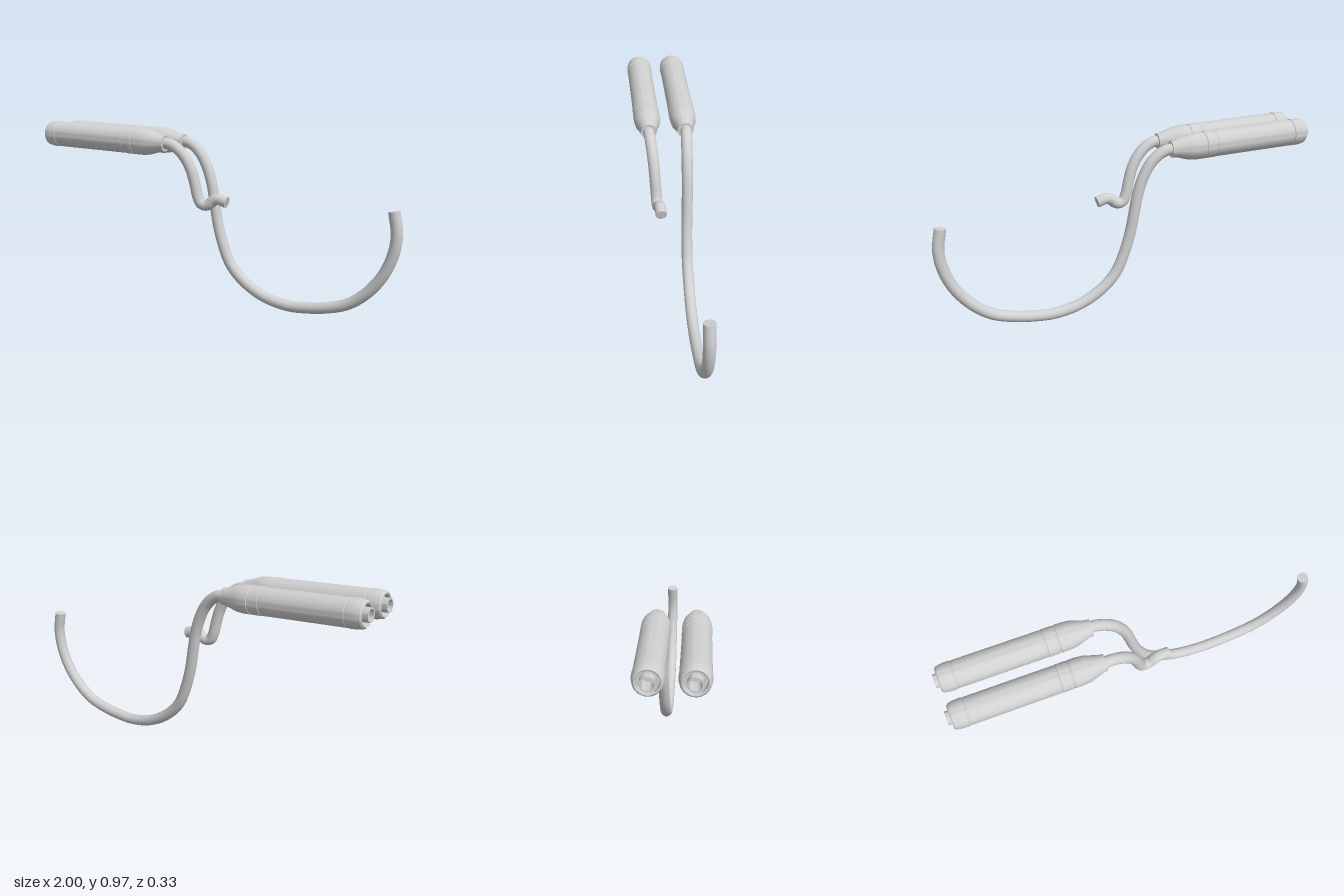
import * as THREE from 'three';
import { toCreasedNormals } from 'three/addons/utils/BufferGeometryUtils.js';

const steel = new THREE.MeshStandardMaterial({ color: 0xd0d0d0 });
steel.name = 'steel';

const PIPE_RADIUS = 0.029;
const TILT = 0.055;

// Silencer profile as [radius, distance from the outlet], starting inside the hollow tip
const silencerProfile = [
  [0, 0.09], [0.027, 0.09], [0.027, 0], [0.034, 0], [0.034, 0.045],
  [0.048, 0.045], [0.05, 0.02], [0.057, 0.018], [0.064, 0.026], [0.068, 0.045],
  [0.07, 0.06], [0.07, 0.092], [0.067, 0.094], [0.067, 0.1], [0.0685, 0.102],
  [0.0685, 0.535], [0.067, 0.537], [0.067, 0.542], [0.07, 0.544],
  [0.07, 0.596], [0.067, 0.598], [0.067, 0.604], [0.07, 0.606],
  [0.07, 0.645], [0.066, 0.685], [0.044, 0.755], [0.042, 0.777], [0, 0.777],
].map(([r, d]) => new THREE.Vector2(r, d));

function silencer(name, z) {
  const geometry = toCreasedNormals(new THREE.LatheGeometry(silencerProfile, 48), 0.45);
  const mesh = new THREE.Mesh(geometry, steel);
  mesh.name = name;
  mesh.rotation.z = -(Math.PI / 2 + TILT);
  mesh.position.set(-0.999, 0.903, z);
  return mesh;
}

// Round pipe along a smooth path, closed by a flat disc at each end
function pipe(name, points, segments) {
  const group = new THREE.Group();
  group.name = name;
  const curve = new THREE.CatmullRomCurve3(points.map((p) => new THREE.Vector3(...p)));
  const tube = new THREE.Mesh(new THREE.TubeGeometry(curve, segments, PIPE_RADIUS, 24), steel);
  tube.name = name + 'Tube';
  group.add(tube);
  for (const t of [0, 1]) {
    const cap = new THREE.Mesh(new THREE.CircleGeometry(PIPE_RADIUS, 24), steel);
    cap.name = name + (t ? 'FrontCap' : 'RearCap');
    const out = curve.getTangentAt(t).multiplyScalar(t ? 1 : -1);
    cap.quaternion.setFromUnitVectors(new THREE.Vector3(0, 0, 1), out);
    cap.position.copy(curve.getPointAt(t));
    group.add(cap);
  }
  return group;
}

export function createModel() {
  const model = new THREE.Group();
  model.name = 'twinExhaust';

  model.add(silencer('leftSilencer', 0.096), silencer('rightSilencer', -0.096));

  // Short header pipe with a small kink at its end
  model.add(pipe('shortHeaderPipe', [
    [-0.235, 0.862, 0.098], [-0.205, 0.86, 0.096], [-0.165, 0.843, 0.093],
    [-0.118, 0.8, 0.088], [-0.08, 0.735, 0.083], [-0.057, 0.66, 0.079],
    [-0.042, 0.595, 0.076], [-0.026, 0.56, 0.075], [0, 0.548, 0.073],
    [0.025, 0.556, 0.071], [0.045, 0.573, 0.069], [0.07, 0.582, 0.067],
    [0.123, 0.568, 0.064],
  ], 90));

  // Long header pipe sweeping down, forward and up again
  model.add(pipe('longHeaderPipe', [
    [-0.235, 0.862, -0.1], [-0.205, 0.86, -0.098], [-0.165, 0.843, -0.095],
    [-0.118, 0.8, -0.092], [-0.08, 0.735, -0.09], [-0.05, 0.65, -0.088],
    [-0.03, 0.55, -0.086], [-0.012, 0.45, -0.083], [0.02, 0.335, -0.08],
    [0.07, 0.22, -0.078], [0.15, 0.135, -0.077], [0.27, 0.066, -0.075],
    [0.4, 0.035, -0.073], [0.5, 0.035, -0.072], [0.62, 0.05, -0.071],
    [0.73, 0.082, -0.07], [0.83, 0.152, -0.069], [0.91, 0.25, -0.068],
    [0.955, 0.355, -0.067], [0.969, 0.45, -0.066], [0.953, 0.56, -0.066],
  ], 160));

  return model;
}
